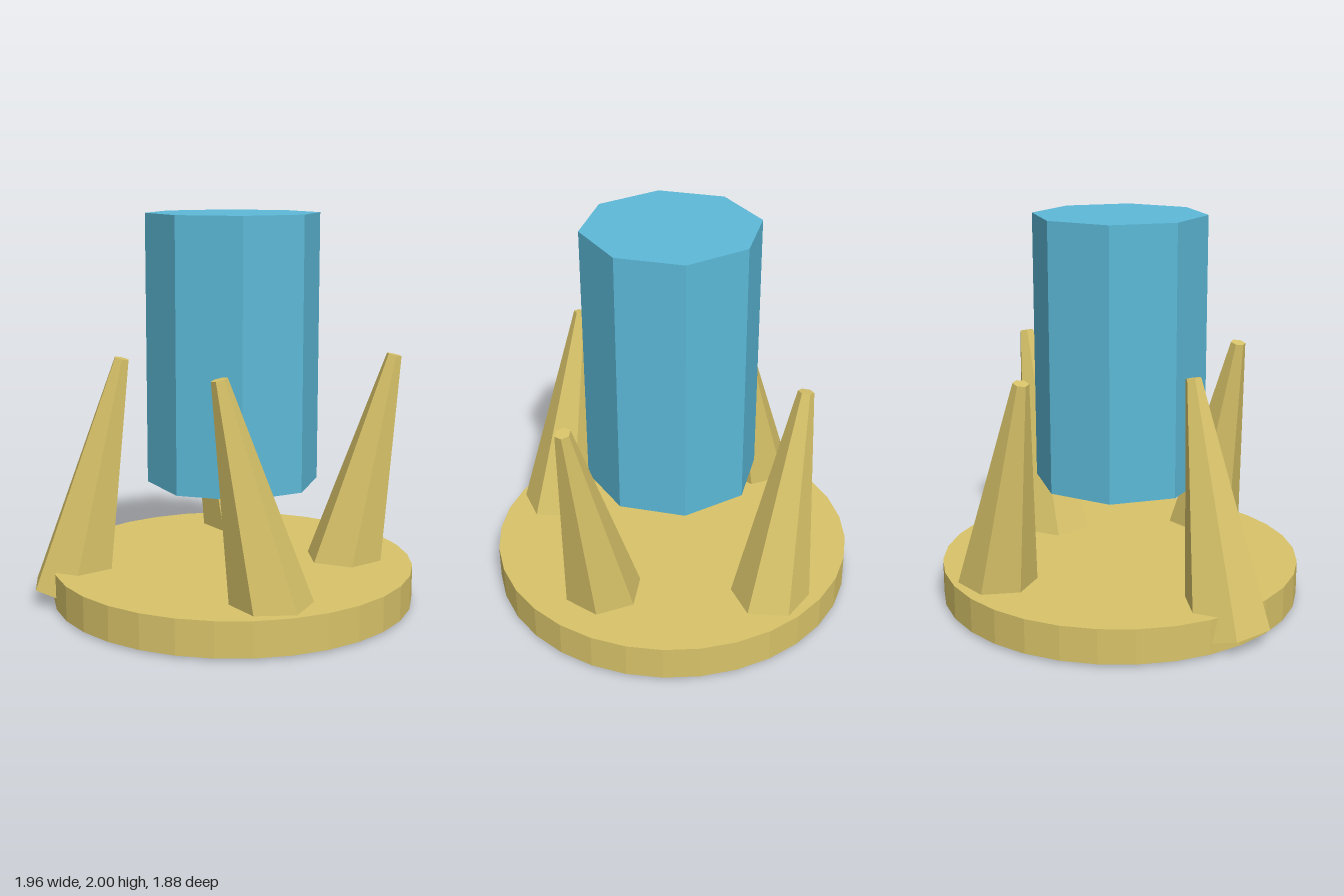
import * as THREE from 'three';

export function createModel() {
  const model = new THREE.Group();
  const gold = new THREE.MeshStandardMaterial({ color: 0xd8c369 });
  gold.name = 'gold';
  const blue = new THREE.MeshStandardMaterial({ color: 0x5cb9d8 });
  blue.name = 'blue';

  const cx = 0.043; // shared centre line of base, column and spikes

  function add(name, geometry, material, x, y, z) {
    // unshared vertices give flat facets
    const flat = geometry.toNonIndexed();
    flat.computeVertexNormals();
    const mesh = new THREE.Mesh(flat, material);
    mesh.name = name;
    mesh.position.set(x, y, z);
    model.add(mesh);
  }

  // round base plate
  add('base', new THREE.CylinderGeometry(0.938, 0.938, 0.18, 32), gold, cx, 0.1, 0);

  // floating octagonal column
  add('column', new THREE.CylinderGeometry(0.442, 0.442, 1.375, 8), blue, cx, 1.3125, 0);

  // four leaning six-sided spikes: side pair leans to +x, front and back pair to -x
  const spikes = [
    ['leftSpike', 1, 0, -0.22, 0],
    ['rightSpike', -1, 0, -0.22, 0],
    ['frontSpike', 0, 1, 0.22, Math.PI / 2],
    ['backSpike', 0, -1, 0.22, Math.PI / 2],
  ];
  for (const [name, sx, sz, lean, turn] of spikes) {
    const spike = new THREE.CylinderGeometry(0.04, 0.22, 1.252, 6);
    spike.rotateY(turn).rotateZ(lean);
    add(name, spike, gold, cx + sx * 0.704, 0.659, sz * 0.704);
  }
  return model;
}
